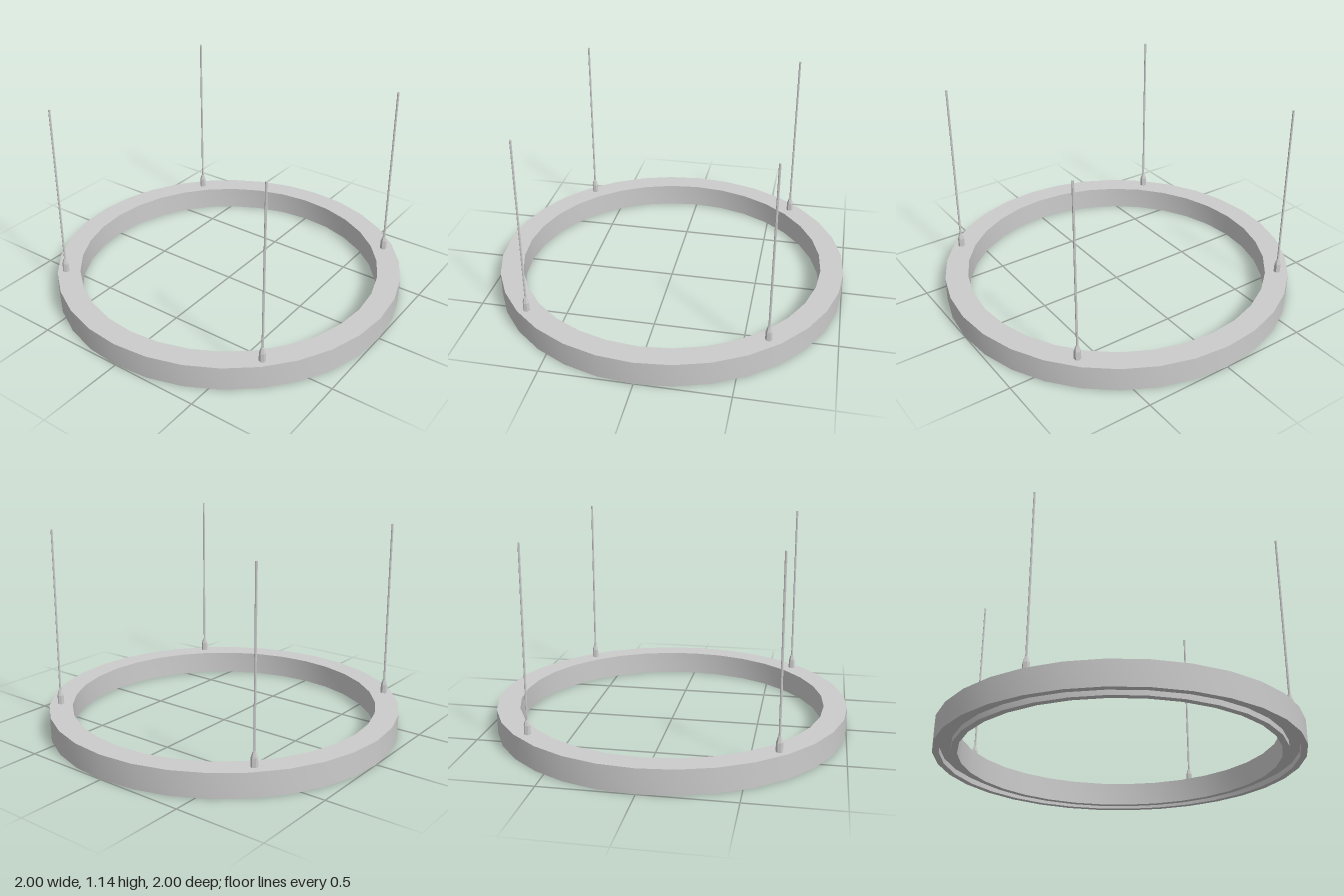
import * as THREE from 'three';
import { toCreasedNormals } from 'three/addons/utils/BufferGeometryUtils.js';

const SIDES = 32;
const OUTER = 1, INNER = 0.87, HEIGHT = 0.135;
const LIP = 0.035, RECESS = 0.03;

export function createModel() {
  const group = new THREE.Group();
  const grey = new THREE.MeshStandardMaterial({ color: 0xcccccc });

  const add = (name, geometry, parent = group) => {
    const mesh = new THREE.Mesh(geometry, grey);
    mesh.name = name;
    parent.add(mesh);
    return mesh;
  };

  // Ring housing with a groove along its underside
  const profile = [
    [OUTER - LIP, RECESS], [OUTER - LIP, 0], [OUTER, 0], [OUTER, HEIGHT],
    [INNER, HEIGHT], [INNER, 0], [INNER + LIP, 0], [INNER + LIP, RECESS],
  ].map(([r, y]) => new THREE.Vector2(r, y));
  add('ringHousing', toCreasedNormals(new THREE.LatheGeometry(profile, SIDES), 0.6));

  // Diffuser recessed in the groove, facing down
  const diffuser = add('lightDiffuser', new THREE.RingGeometry(INNER + LIP, OUTER - LIP, SIDES));
  diffuser.rotation.x = Math.PI / 2;
  diffuser.position.y = RECESS;

  // Six-sided rod with corners on the x axis, from y0 to y1
  const rod = (bottom, top, y0, y1) => toCreasedNormals(
    new THREE.CylinderGeometry(top, bottom, y1 - y0, 6)
      .rotateY(Math.PI / 6)
      .translate(0, (y0 + y1) / 2, 0), 0.6);

  // Four suspension points: grip, tapered collar and cable
  for (const x of [-0.66, 0.64]) {
    for (const z of [-0.685, 0.685]) {
      const hanger = new THREE.Group();
      hanger.name = 'suspension';
      hanger.position.set(x, 0, z);
      add('cableGrip', rod(0.019, 0.018, HEIGHT, 0.185), hanger);
      add('gripCollar', rod(0.018, 0.009, 0.185, 0.215), hanger);
      add('cable', rod(0.006, 0.006, 0.21, 1.14), hanger);
      group.add(hanger);
    }
  }
  return group;
}
